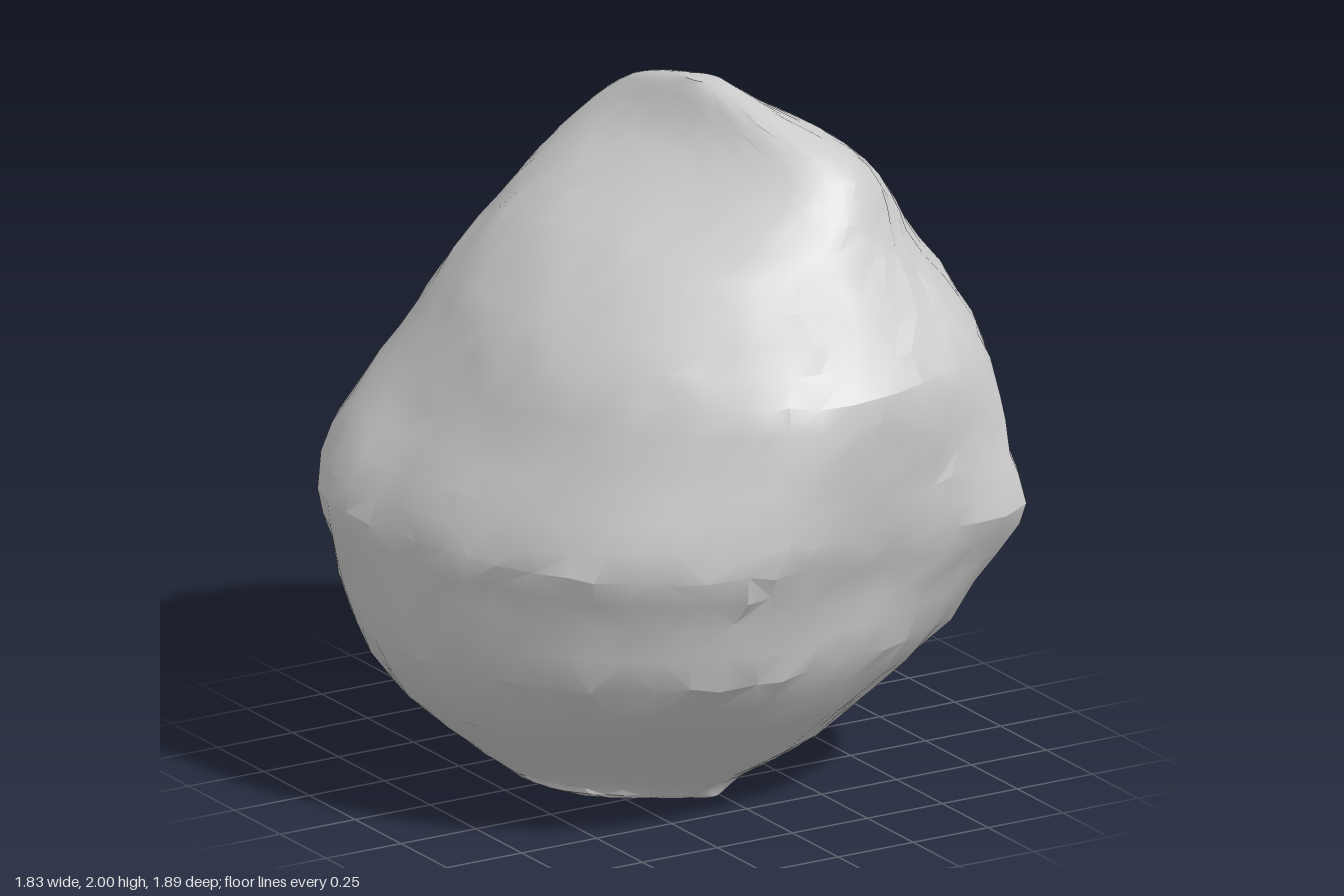
import * as THREE from 'three';
import { toCreasedNormals } from 'three/addons/utils/BufferGeometryUtils.js';

// Extents of the boulder at each height: y, xMin, xMax, zMin, zMax
const LEVELS = [
  [0.0, -0.09, 0.03, 0.22, 0.36], [0.04, -0.43, 0.2, -0.1, 0.39], [0.07, -0.5, 0.34, -0.38, 0.42],
  [0.14, -0.58, 0.51, -0.55, 0.5], [0.3, -0.77, 0.66, -0.69, 0.68], [0.5, -0.88, 0.78, -0.79, 0.83],
  [0.7, -0.9, 0.86, -0.85, 0.88], [0.85, -0.92, 0.91, -0.9, 0.94], [1.0, -0.84, 0.9, -0.94, 0.94],
  [1.16, -0.71, 0.91, -0.92, 0.93], [1.32, -0.61, 0.87, -0.86, 0.91], [1.46, -0.51, 0.81, -0.78, 0.77],
  [1.6, -0.36, 0.72, -0.69, 0.62], [1.7, -0.2, 0.64, -0.62, 0.53], [1.8, -0.04, 0.54, -0.55, 0.46],
  [1.87, 0.05, 0.45, -0.48, 0.37], [1.93, 0.1, 0.34, -0.38, 0.23], [1.97, 0.13, 0.28, -0.26, 0.12],
  [2.0, 0.16, 0.24, -0.12, 0.0],
];

// Plan outline (x, z) with its blunt corners
const PLAN = [
  [0.92, -0.45], [0.89, -0.1], [0.92, 0.2], [0.86, 0.55], [0.81, 0.74], [0.5, 0.83], [0.22, 0.86],
  [0, 0.92], [-0.15, 0.94], [-0.3, 0.91], [-0.55, 0.76], [-0.7, 0.6], [-0.77, 0.45], [-0.86, 0.2],
  [-0.89, -0.05], [-0.92, -0.27], [-0.85, -0.5], [-0.72, -0.63], [-0.5, -0.75], [-0.35, -0.85],
  [-0.2, -0.92], [0.1, -0.94], [0.33, -0.92], [0.5, -0.77], [0.7, -0.67], [0.83, -0.62], [0.9, -0.52],
];

// Short cracks: start and end points on the surface
const CRACKS = [
  [[0.0, 1.6, 0.62], [0.0, 1.25, 0.9]], [[0.42, 1.87, -0.4], [0.52, 1.8, 0.1]],
  [[0.8, 1.4, 0.1], [0.72, 1.57, 0.25]], [[-0.72, 1.1, 0.2], [-0.76, 0.75, 0.45]],
].map(([a, b]) => new THREE.Line3(new THREE.Vector3(...a), new THREE.Vector3(...b)));

function seeded(seed) {
  return () => {
    seed = (seed * 16807) % 2147483647;
    return seed / 2147483647 - 0.5;
  };
}

// Smooth extents between the levels
function levelAt(k, t) {
  const row = (n) => LEVELS[THREE.MathUtils.clamp(n, 0, LEVELS.length - 1)];
  return row(k).map((b, n) => {
    const c = row(k + 1)[n];
    const m0 = (c - row(k - 1)[n]) / 2, m1 = (row(k + 2)[n] - b) / 2;
    return b + t * m0 + t * t * (3 * (c - b) - 2 * m0 - m1) + t * t * t * (2 * (b - c) + m0 + m1);
  });
}

function boulderGeometry(sides = 56, steps = 2) {
  const rand = seeded(4711);
  const curve = new THREE.CatmullRomCurve3(
    PLAN.map(([x, z]) => new THREE.Vector3(x / 0.92, 0, z / 0.94)), true);
  const plan = curve.getSpacedPoints(sides).slice(0, sides);
  const pos = [], index = [];
  const point = new THREE.Vector3(), near = new THREE.Vector3();
  const rings = (LEVELS.length - 1) * steps + 1;

  for (let i = 0; i < rings; i++) {
    const k = Math.min(Math.floor(i / steps), LEVELS.length - 2);
    const [y, x0, x1, z0, z1] = levelAt(k, i / steps - k);
    // The front corner juts out lower than the back one; both fade quickly.
    // The crest runs slightly askew.
    const skew = 0.45 * THREE.MathUtils.smoothstep(y, 1.55, 1.9);
    const ring = plan.map((p) => {
      const peak = 0.89 - 0.1 * p.z;
      const round = Math.min(1, Math.abs(y - peak) * 1.9);
      const q = p.clone().lerp(p.clone().normalize(), round);
      q.x += q.z * skew;
      return q;
    });
    const box = new THREE.Box3().setFromPoints(ring);
    const size = Math.min(1, (x1 - x0) / 1.2);
    const rough = i === 0 || i === rings - 1 ? 0 : 0.02 * size;
    ring.forEach((p) => {
      point.set(
        THREE.MathUtils.mapLinear(p.x, box.min.x, box.max.x, x0, x1), y,
        THREE.MathUtils.mapLinear(p.z, box.min.z, box.max.z, z0, z1));
      // Carved cracks
      let dent = 0;
      for (const crack of CRACKS) {
        crack.closestPointToPoint(point, true, near);
        dent += 0.02 * Math.max(0, 1 - near.distanceTo(point) / 0.06);
      }
      point.x *= 1 - dent;
      point.z *= 1 - dent;
      // Shuffle along the surface, then a little across it
      const slide = rand() * rough * 2;
      point.x += slide * p.z + rand() * rough * 0.5;
      point.z += -slide * p.x + rand() * rough * 0.5;
      point.y += rand() * rough * Math.min(1, y * 2, (2 - y) * 2);
      pos.push(point.x, point.y, point.z);
    });
  }

  // Skin between rings, with alternating diagonals
  for (let i = 0; i < rings - 1; i++) {
    for (let j = 0; j < sides; j++) {
      const a = i * sides + j, b = i * sides + (j + 1) % sides;
      const c = a + sides, d = b + sides;
      if (rand() > 0) index.push(a, c, b, b, c, d);
      else index.push(a, c, d, a, d, b);
    }
  }

  // Close the base and the crest
  const base = pos.length / 3, top = base + 1, last = (rings - 1) * sides;
  pos.push(-0.03, 0, 0.29, 0.2, 2, -0.06);
  for (let j = 0; j < sides; j++) {
    const n = (j + 1) % sides;
    index.push(base, j, n, top, last + n, last + j);
  }

  const geometry = new THREE.BufferGeometry();
  geometry.setAttribute('position', new THREE.Float32BufferAttribute(pos, 3));
  geometry.setIndex(index);
  return toCreasedNormals(geometry, 0.4);
}

export function createModel() {
  const group = new THREE.Group();
  group.name = 'rock';
  const boulder = new THREE.Mesh(boulderGeometry(), new THREE.MeshStandardMaterial({ color: 0xcccccc }));
  boulder.name = 'boulder';
  group.add(boulder);
  return group;
}
